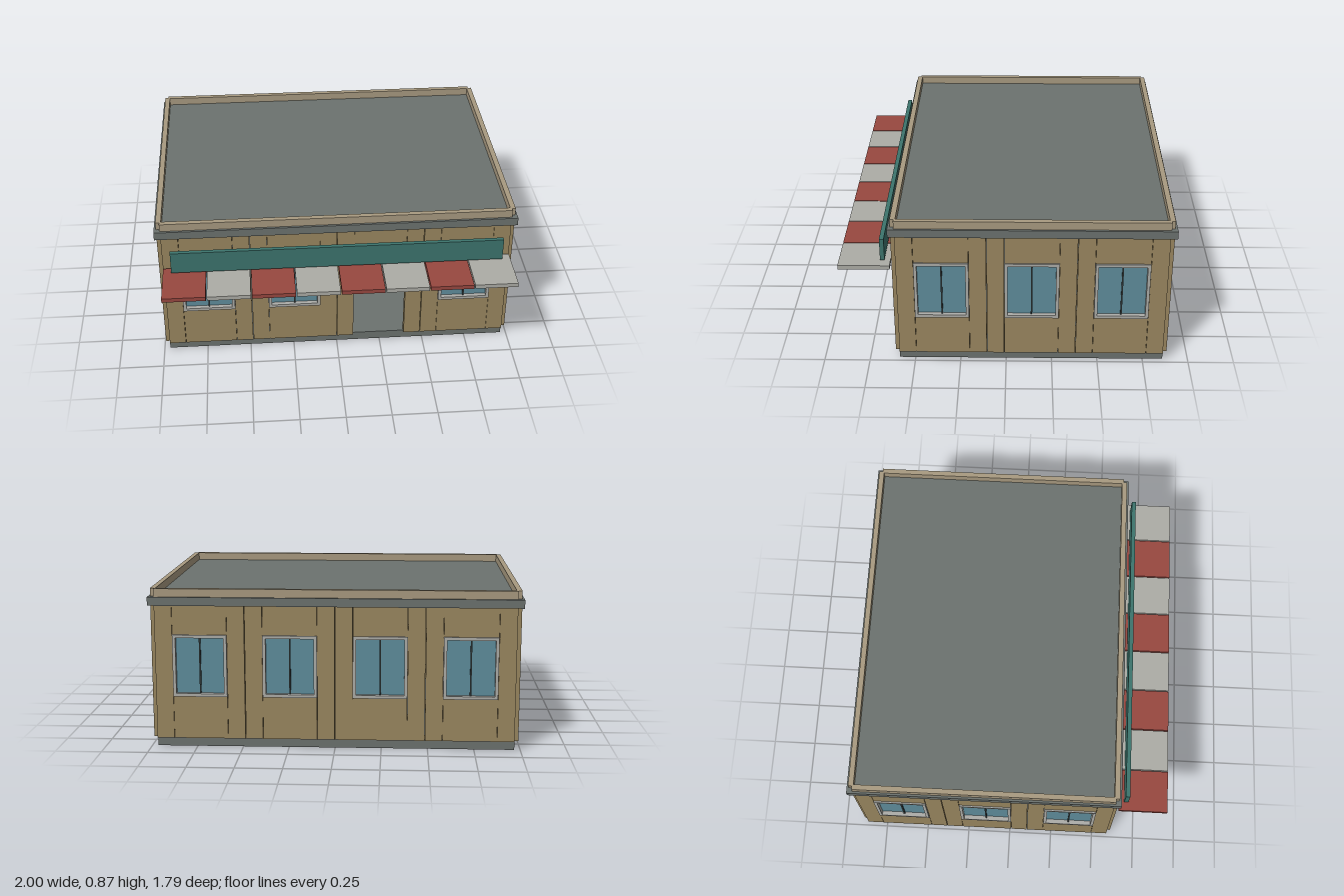
import * as THREE from 'three';

const material = (color) => new THREE.MeshStandardMaterial({ color });
const MAT = {
  wall: material(0x9a8760), coping: material(0xa89a80), slab: material(0x6c726f),
  frame: material(0xadada8), glass: material(0x5f8d9c), mullion: material(0x3c4546),
  sign: material(0x3c746d), red: material(0x984840), white: material(0xadada6),
};

const HALF_X = 0.968, HALF_Z = 0.724;   // wall centre lines
const CENTRE_Z = -0.137;
const FLOOR = 0.05, WALL_TOP = 0.78, ROOF = 0.826, TOP = 0.87;
const THICK = 0.042;
const OPEN_HALF = 0.146, SILL = 0.283, HEAD = 0.622;
const GAP = 0.0015;                      // half of a panel joint

// Box given by its limits on each axis
function box(parent, name, mat, x0, x1, y0, y1, z0, z1) {
  const mesh = new THREE.Mesh(new THREE.BoxGeometry(x1 - x0, y1 - y0, z1 - z0), mat);
  mesh.position.set((x0 + x1) / 2, (y0 + y1) / 2, (z0 + z1) / 2);
  mesh.name = name;
  parent.add(mesh);
  return mesh;
}

function createWindow() {
  const g = new THREE.Group();
  g.name = 'window';
  const w = OPEN_HALF, b = 0.017, d = 0.03;
  box(g, 'frameSill', MAT.frame, -w, w, SILL, SILL + b, -d, d);
  box(g, 'frameHead', MAT.frame, -w, w, HEAD - b, HEAD, -d, d);
  for (const s of [-1, 1]) {
    const x = s * (w - b / 2);
    box(g, 'frameJamb', MAT.frame, x - b / 2, x + b / 2, SILL + b, HEAD - b, -d, d);
  }
  box(g, 'glass', MAT.glass, -w + b, w - b, SILL + b, HEAD - b, -0.005, 0.005);
  box(g, 'mullion', MAT.mullion, -0.004, 0.004, SILL + b, HEAD - b, -0.016, 0.016);
  return g;
}

// One wall bay: two side panels, a head panel and a window or an open doorway
function createBay(width, isDoor) {
  const g = new THREE.Group();
  g.name = isDoor ? 'doorBay' : 'windowBay';
  const h = width / 2, t = THICK / 2;
  box(g, 'leftPanel', MAT.wall, -h + GAP, -OPEN_HALF - GAP, FLOOR, WALL_TOP, -t, t);
  box(g, 'rightPanel', MAT.wall, OPEN_HALF + GAP, h - GAP, FLOOR, WALL_TOP, -t, t);
  box(g, 'headPanel', MAT.wall, -OPEN_HALF, OPEN_HALF, HEAD, WALL_TOP, -t, t);
  if (!isDoor) {
    box(g, 'sillPanel', MAT.wall, -OPEN_HALF, OPEN_HALF, FLOOR, SILL, -t, t);
    g.add(createWindow());
  }
  return g;
}

// A row of bays with its parapet, facing local +z
function createSide(name, half, bays, distance, angle, doorBay = -1) {
  const side = new THREE.Group();
  side.name = name;
  const row = new THREE.Group();
  row.name = 'bays';
  row.position.z = distance;
  const width = (2 * half) / bays;
  for (let i = 0; i < bays; i++) {
    const bay = createBay(width, i === doorBay);
    bay.position.x = -half + (i + 0.5) * width;
    row.add(bay);
  }
  box(row, 'parapet', MAT.coping, -half, half, ROOF, TOP, -0.009, 0.02);
  side.add(row);
  side.rotation.y = angle;
  return side;
}

export function createModel() {
  const model = new THREE.Group();
  model.name = 'shop';

  // Hollow building on a floor slab, under a slightly wider roof slab
  const building = new THREE.Group();
  building.name = 'building';
  building.position.z = CENTRE_Z;
  box(building, 'floorSlab', MAT.slab, -HALF_X, HALF_X, 0, FLOOR, -HALF_Z, HALF_Z);
  box(building, 'roofSlab', MAT.slab, -1, 1, WALL_TOP, ROOF, -0.757, 0.757);
  building.add(
    createSide('frontWall', HALF_X, 4, HALF_Z, 0, 2),
    createSide('backWall', HALF_X, 4, HALF_Z, Math.PI),
    createSide('leftWall', HALF_Z, 3, HALF_X, Math.PI / 2),
    createSide('rightWall', HALF_Z, 3, HALF_X, -Math.PI / 2),
  );
  model.add(building);

  // Flat awning of alternating slats
  const awning = new THREE.Group();
  awning.name = 'awning';
  const pitch = (2 * HALF_X) / 8;
  for (let i = 0; i < 8; i++) {
    const x = -HALF_X + i * pitch;
    box(awning, 'awningSlat', i % 2 ? MAT.white : MAT.red,
      x + 0.003, x + pitch - 0.003, 0.563, 0.587, 0.62, 0.897);
  }
  model.add(awning);

  // Blank sign board above the awning
  box(model, 'signBoard', MAT.sign, -0.918, 0.918, 0.595, 0.722, 0.65, 0.674);
  return model;
}
